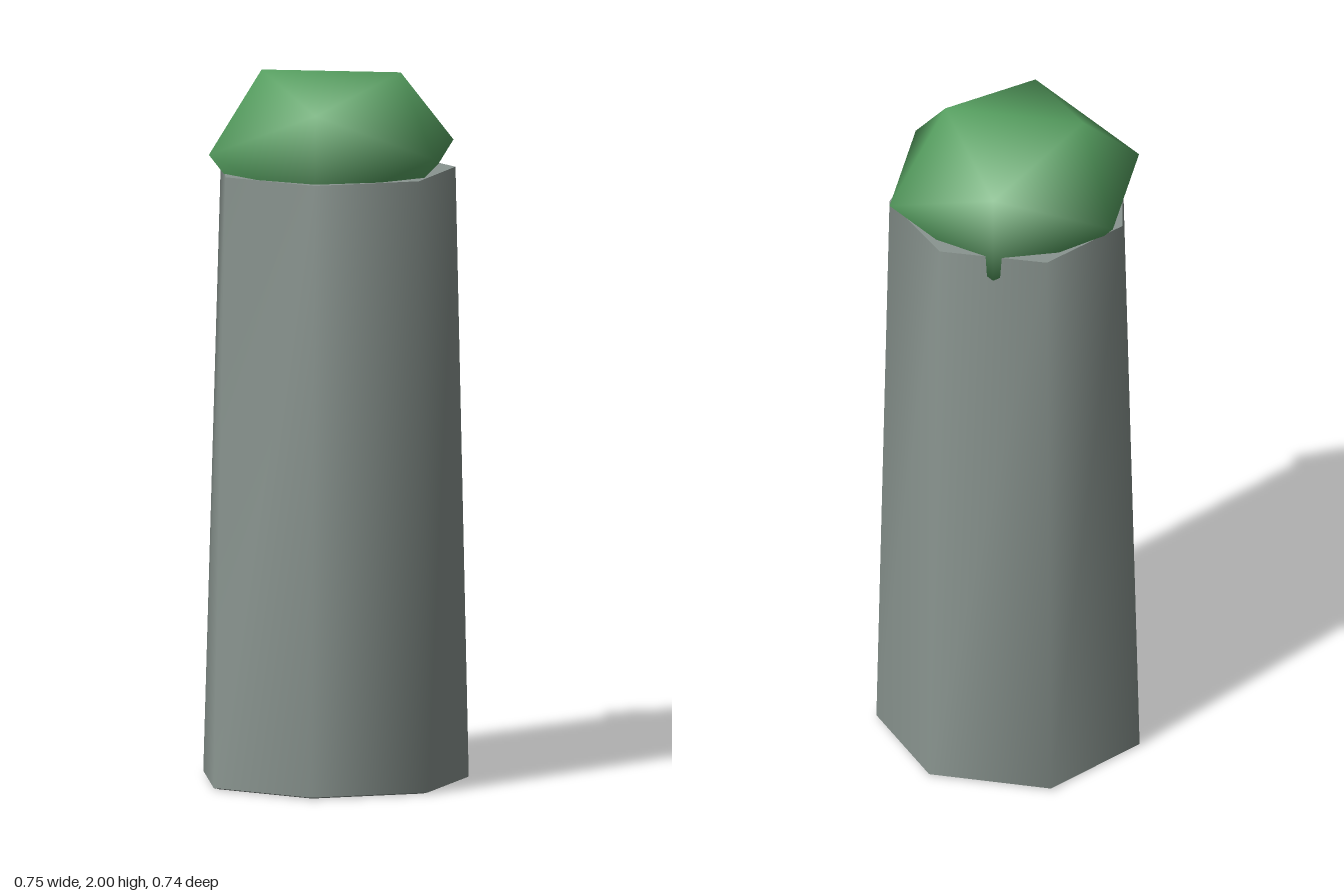
import * as THREE from 'three';
import { mergeVertices } from 'three/addons/utils/BufferGeometryUtils.js';

const stone = new THREE.MeshStandardMaterial({ color: 0x8a9590 });
stone.name = 'grey';
const leaf = new THREE.MeshStandardMaterial({ color: 0x58a262 });
leaf.name = 'green';

// slightly uneven seven-sided outlines, as [x, z], front corner first
const base = [[-0.005, 0.368], [0.304, 0.221], [0.374, -0.095], [0.173, -0.362], [-0.175, -0.37], [-0.375, -0.1], [-0.3, 0.222]];
const rim = [[0, 0.327], [0.275, 0.197], [0.337, -0.093], [0.152, -0.318], [-0.153, -0.318], [-0.325, -0.095], [-0.27, 0.197]];
const inner = base.map(([x, z]) => [x * 0.95, z * 0.95]);

// smooth wall between two outlines; inward flips it to face the middle
function wall(low, yLow, high, yHigh, inward = false) {
  const n = low.length, pos = [], index = [];
  for (let i = 0; i < n; i++) {
    pos.push(low[i][0], yLow, low[i][1], high[i][0], yHigh, high[i][1]);
    const a = 2 * i, b = 2 * ((i + 1) % n);
    const quad = [a, b, b + 1, a, b + 1, a + 1];
    index.push(...(inward ? quad.reverse() : quad));
  }
  const g = new THREE.BufferGeometry();
  g.setAttribute('position', new THREE.Float32BufferAttribute(pos, 3));
  g.setIndex(index);
  g.computeVertexNormals();
  return g;
}

// flat seven-sided plate facing up or down
function plate(outline, y, up) {
  const shape = new THREE.Shape(outline.map(([x, z]) => new THREE.Vector2(x, up ? -z : z)));
  return new THREE.ShapeGeometry(shape).rotateX(up ? -Math.PI / 2 : Math.PI / 2).translate(0, y, 0);
}

export function createModel() {
  const model = new THREE.Group();
  const add = (name, geometry, material) => {
    const mesh = new THREE.Mesh(geometry, material);
    mesh.name = name;
    model.add(mesh);
  };

  // tapering column with a hollow foot
  add('columnWall', wall(base, 0.005, rim, 1.725), stone);
  add('columnTop', plate(rim, 1.725, true), stone);
  add('footRim', wall(inner, 0, base, 0.005), stone);
  add('footHollow', wall(inner, 0, inner, 0.11, true), stone);
  add('footCeiling', plate(inner, 0.11, false), stone);

  // squashed, smooth-shaded twenty-sided cap sunk into the column
  let cap = new THREE.IcosahedronGeometry(1, 0);
  cap.deleteAttribute('normal');
  cap.deleteAttribute('uv');
  cap = mergeVertices(cap);
  cap.scale(0.373, 0.253, 0.37);
  cap.translate(-0.002, 1.785, -0.012);
  cap.computeVertexNormals();
  add('cap', cap, leaf);

  return model;
}
